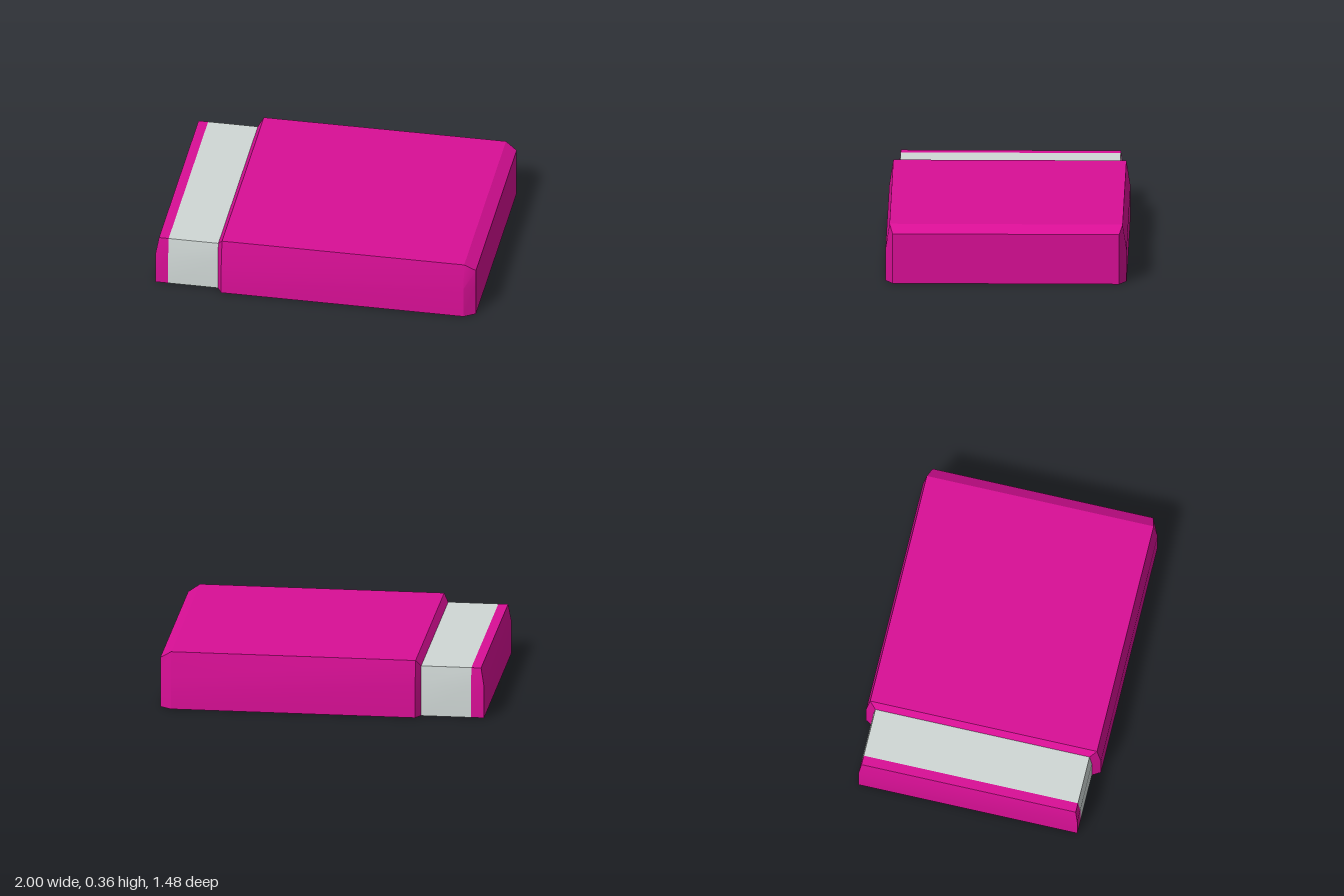
import * as THREE from 'three';
import { toCreasedNormals } from 'three/addons/utils/BufferGeometryUtils.js';

const SHOULDER = 0.2; // height where the sides begin to lean inward
const CREASE = 0.4;

// Six-point cross-section: x at the base, xTop at the top edge, half widths and height
function section(x, halfBase, halfTop, height, xTop = x) {
  return [
    [x, 0, halfBase], [x, SHOULDER, halfBase], [xTop, height, halfTop],
    [xTop, height, -halfTop], [x, SHOULDER, -halfBase], [x, 0, -halfBase],
  ];
}

// Skins a row of sections from low x to high x, with optional end caps
function loft(name, sections, material, { capStart = false, capEnd = false } = {}) {
  const positions = [];
  const quad = (a, b, c, d) => positions.push(...a, ...b, ...c, ...a, ...c, ...d);
  for (let s = 0; s < sections.length - 1; s++) {
    const a = sections[s], b = sections[s + 1];
    for (let i = 0; i < 6; i++) {
      const j = (i + 1) % 6;
      quad(a[i], b[i], b[j], a[j]);
    }
  }
  if (capStart) {
    const p = sections[0];
    quad(p[5], p[0], p[1], p[4]);
    quad(p[4], p[1], p[2], p[3]);
  }
  if (capEnd) {
    const p = sections[sections.length - 1];
    quad(p[0], p[5], p[4], p[1]);
    quad(p[1], p[4], p[3], p[2]);
  }
  const geometry = new THREE.BufferGeometry();
  geometry.setAttribute('position', new THREE.Float32BufferAttribute(positions, 3));
  geometry.computeVertexNormals();
  const mesh = new THREE.Mesh(toCreasedNormals(geometry, CREASE), material);
  mesh.name = name;
  return mesh;
}

export function createModel() {
  const pink = new THREE.MeshStandardMaterial({ color: 0xd90f96 });
  pink.name = 'magenta';
  const grey = new THREE.MeshStandardMaterial({ color: 0xd0d8d6 });
  grey.name = 'pale grey';

  const low = (x, xTop) => section(x, 0.69, 0.675, 0.315, xTop);
  const full = (x) => section(x, 0.74, 0.715, 0.36);

  const model = new THREE.Group();
  model.name = 'slab';
  model.add(
    // Thin end strip with a leaning outer face
    loft('endStrip', [low(-1, -0.98), low(-0.92)], pink, { capStart: true }),
    // Pale band wrapped around the narrow end
    loft('band', [low(-0.92), low(-0.61)], grey),
    // Thicker main body, bevelled at both ends
    loft('mainBody', [low(-0.61), full(-0.58), full(0.93), section(1, 0.695, 0.695, 0.315)],
      pink, { capEnd: true }),
  );
  return model;
}
